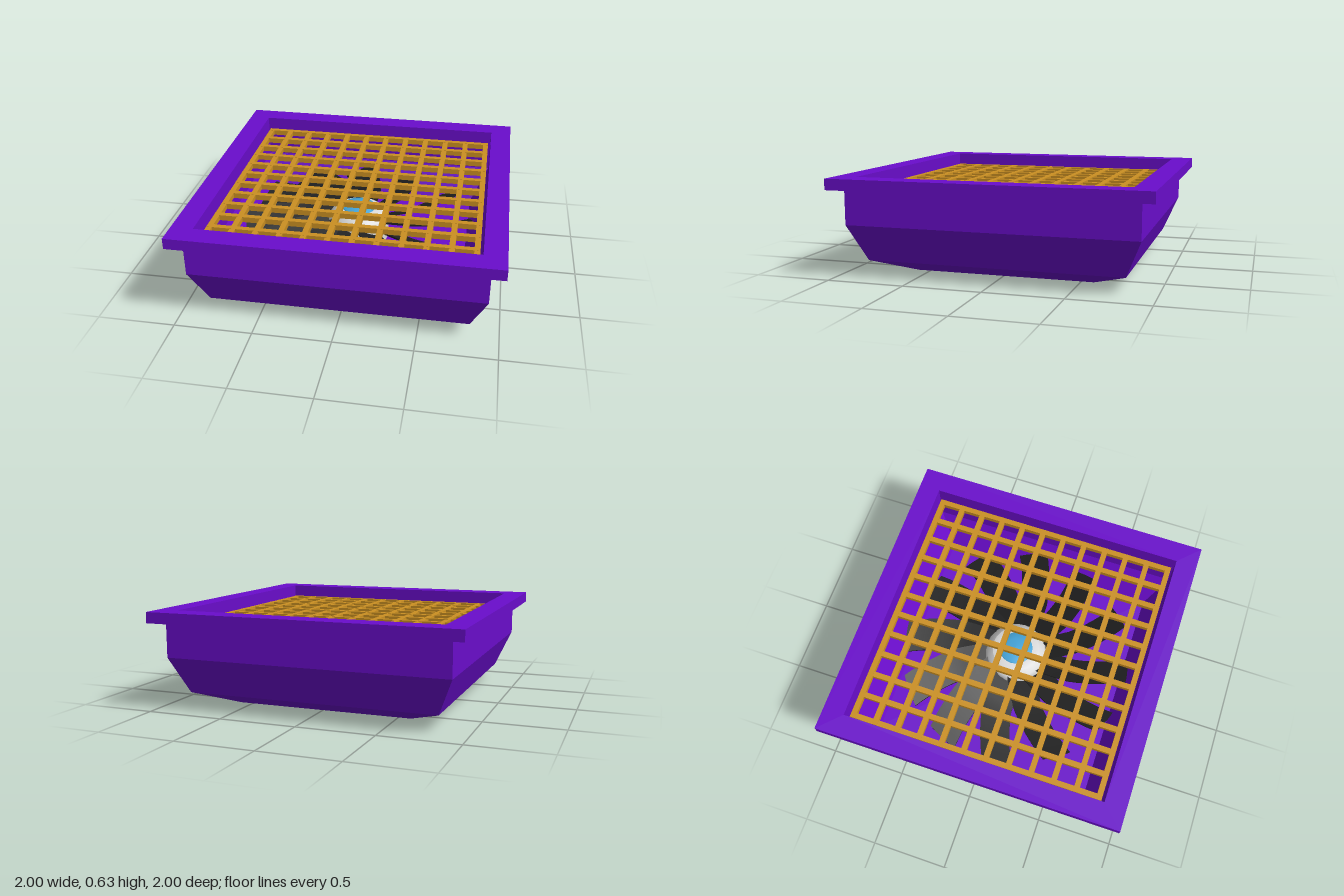
import * as THREE from 'three';

const material = (name, color, flat = false) =>
  Object.assign(new THREE.MeshStandardMaterial({ color, flatShading: flat }), { name });

// Revolve a [radius, height] profile
function lathe(profile, segments, start = 0) {
  return new THREE.LatheGeometry(profile.map(([r, y]) => new THREE.Vector2(r, y)), segments, start);
}

// Curved, pitched fan blade running out along +x
function bladeGeometry() {
  const geo = new THREE.BoxGeometry(0.61, 0.012, 0.2, 10, 1, 6);
  const pos = geo.attributes.position;
  for (let i = 0; i < pos.count; i++) {
    const r = pos.getX(i) + 0.475;
    const lateral = pos.getZ(i);
    const sweep = Math.max(0, r - 0.4) * 0.42;
    const angle = lateral / r - sweep;
    pos.setXYZ(i, r * Math.cos(angle), pos.getY(i) + lateral * 0.5, r * Math.sin(angle));
  }
  geo.computeVertexNormals();
  return geo;
}

export function createModel() {
  const model = new THREE.Group();
  model.name = 'ventUnit';
  const purple = material('purple housing', 0x6a0dcc, true);
  const gold = material('gold grille', 0xcb9022);
  const black = material('black blades', 0x222222);
  const white = material('white hub', 0xdcdcdc);
  const blue = material('blue cap', 0x45a5da);

  const add = (parent, name, geo, mat, x = 0, y = 0, z = 0) => {
    const mesh = new THREE.Mesh(geo, mat);
    mesh.name = name;
    mesh.position.set(x, y, z);
    parent.add(mesh);
    return mesh;
  };

  // Square housing: outer wall, flange, inner wall and floor in one closed profile
  const half = [
    [0, 0], [0.58, 0], [0.815, 0.1], [0.915, 0.335], [0.915, 0.56], [1, 0.56], [1, 0.63],
    [0.86, 0.63], [0.86, 0.335], [0.74, 0.1], [0, 0.1],
  ];
  const housing = lathe(half.map(([h, y]) => [h * Math.SQRT2, y]), 4, Math.PI / 4).toNonIndexed();
  housing.computeVertexNormals();
  add(model, 'housing', housing, purple);

  // Grille of crossed bars
  const grille = new THREE.Group();
  grille.name = 'grille';
  model.add(grille);
  const bars = 12, pitch = 0.15, width = 0.036, length = 1.686;
  for (let i = 0; i < bars; i++) {
    const p = (i - (bars - 1) / 2) * pitch;
    add(grille, 'crossBar', new THREE.BoxGeometry(length, 0.036, width), gold, 0, 0.532, p);
    add(grille, 'lengthBar', new THREE.BoxGeometry(width, 0.034, length), gold, p, 0.532, 0);
  }

  // Fan rotor
  const fan = new THREE.Group();
  fan.name = 'fan';
  model.add(fan);
  const blade = bladeGeometry();
  for (let i = 0; i < 12; i++) {
    add(fan, 'blade', blade, black, 0, 0.28, 0).rotation.y = (i * Math.PI) / 6;
  }

  // Domed hub with its cap, and the mount below
  add(fan, 'hub', lathe([[0, 0.18], [0.205, 0.18], [0.205, 0.18], [0.21, 0.31], [0.195, 0.345],
    [0.16, 0.375], [0.16, 0.375], [0.115, 0.39], [0, 0.39]], 24), white);
  add(fan, 'hubCap', lathe([[0.115, 0.385], [0.11, 0.4], [0.06, 0.412], [0, 0.415]], 24), blue);
  add(fan, 'mount', new THREE.CylinderGeometry(0.1, 0.1, 0.1, 20), black, 0, 0.14, 0);

  return model;
}
